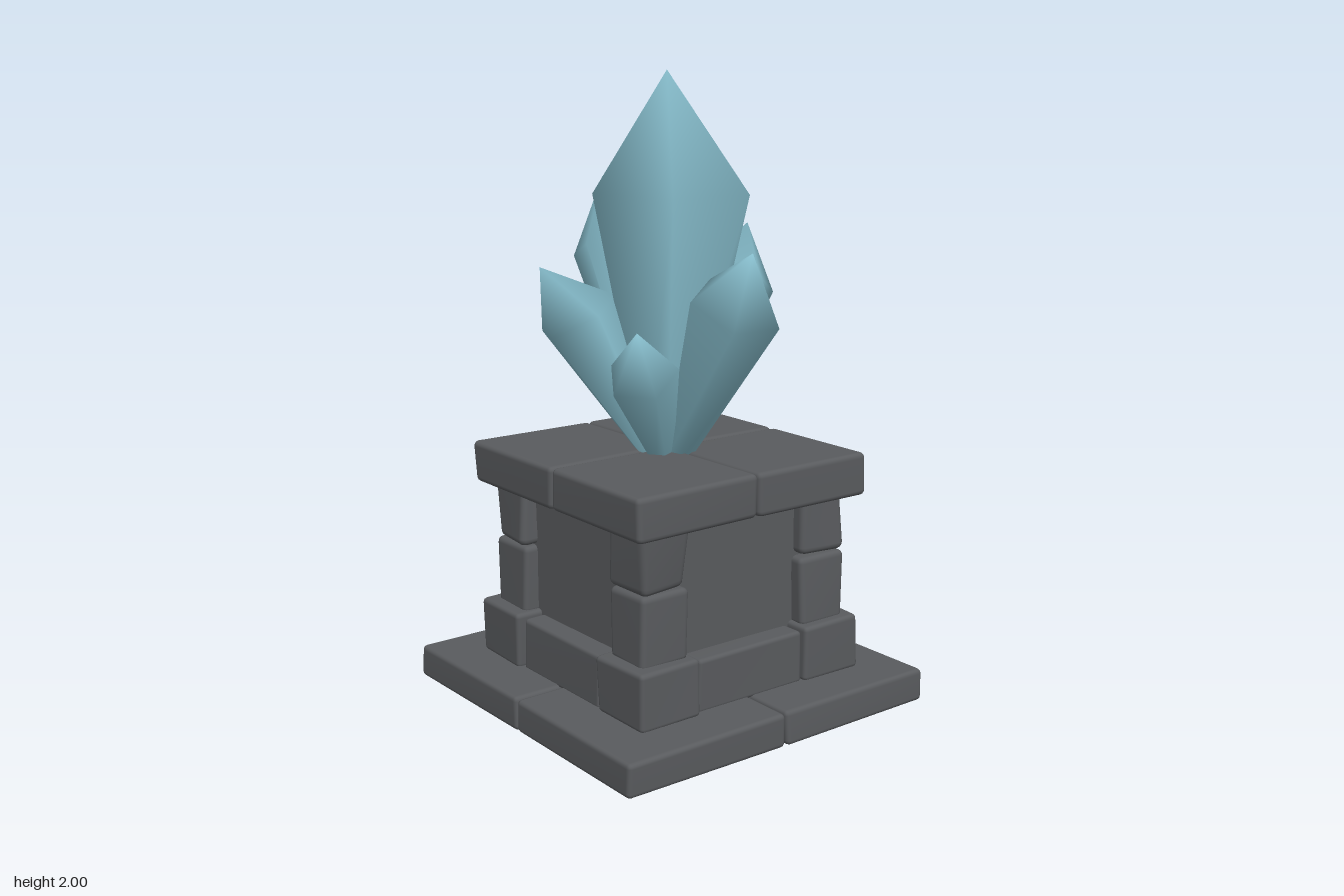
import * as THREE from 'three';
import { RoundedBoxGeometry } from 'three/addons/geometries/RoundedBoxGeometry.js';
import { mergeVertices } from 'three/addons/utils/BufferGeometryUtils.js';

const stone = new THREE.MeshStandardMaterial({ color: 0x595b5e });
stone.name = 'stone';
const crystalBlue = new THREE.MeshStandardMaterial({ color: 0x86bccb });
crystalBlue.name = 'crystal blue';

let seed = 7;
const rand = () => (seed = (seed * 16807) % 2147483647) / 2147483647;

// Worn stone block between two corners, each of its eight corners pulled slightly inward
function block(name, min, max, radius = 0.018, wear = 0.012) {
  const size = max.map((v, i) => v - min[i]);
  let geo = new RoundedBoxGeometry(...size, 2, radius);
  geo.deleteAttribute('normal');
  geo.deleteAttribute('uv');
  geo = mergeVertices(geo, 1e-4);
  const pulls = Array.from({ length: 8 }, () => [rand() * wear, rand() * wear * 0.5, rand() * wear]);
  const pos = geo.attributes.position;
  for (let i = 0; i < pos.count; i++) {
    const p = [pos.getX(i), pos.getY(i), pos.getZ(i)];
    const side = p.map((v) => (v > 0 ? 1 : 0));
    const pull = pulls[side[0] + side[1] * 2 + side[2] * 4];
    const moved = p.map((v, k) => v - pull[k] * (v / (size[k] / 2)));
    pos.setXYZ(i, ...moved);
  }
  geo.computeVertexNormals();
  const mesh = new THREE.Mesh(geo, stone);
  mesh.name = name;
  mesh.position.set(...min.map((v, i) => (v + max[i]) / 2));
  return mesh;
}

// Block spanning near..far outward from the centre in the corner given by sx, sz
function cornerBlock(name, sx, sz, near, far, y0, y1, radius, wear) {
  const span = (s) => (s > 0 ? [near, far] : [-far, -near]);
  const [x0, x1] = span(sx), [z0, z1] = span(sz);
  return block(name, [x0, y0, z0], [x1, y1, z1], radius, wear);
}

// Five-sided crystal: narrow foot, wide shoulder, pointed tip
function crystal(name, foot, shoulder, tip, radius, footRadius) {
  const a = new THREE.Vector3(...foot), b = new THREE.Vector3(...shoulder);
  const axis = b.clone().sub(a).normalize();
  const inward = new THREE.Vector3(a.x - b.x, 0, a.z - b.z);
  inward.addScaledVector(axis, -inward.dot(axis)).normalize();
  const across = axis.clone().cross(inward);
  const points = [], index = [], n = 5;
  for (const [centre, r] of [[a, footRadius], [b, radius]]) {
    for (let i = 0; i < n; i++) {
      const t = (i / n) * Math.PI * 2;
      const p = centre.clone().addScaledVector(inward, Math.cos(t) * r).addScaledVector(across, Math.sin(t) * r);
      points.push(p);
    }
  }
  points.push(new THREE.Vector3(...tip), a);
  for (let i = 0; i < n; i++) {
    const j = (i + 1) % n;
    index.push(i, j, n + j, i, n + j, n + i, n + i, n + j, 2 * n, j, i, 2 * n + 1);
  }
  const geo = new THREE.BufferGeometry().setFromPoints(points);
  geo.setIndex(index);
  geo.computeVertexNormals();
  const mesh = new THREE.Mesh(geo, crystalBlue);
  mesh.name = name;
  return mesh;
}

export function createModel() {
  const model = new THREE.Group();
  model.name = 'crystalPedestal';
  const pedestal = new THREE.Group();
  pedestal.name = 'pedestal';
  const cluster = new THREE.Group();
  cluster.name = 'crystalCluster';
  model.add(pedestal, cluster);

  // Inner core, whose sides show as recessed panels
  const core = new THREE.Mesh(new THREE.BoxGeometry(0.7, 0.68, 0.7), stone);
  core.name = 'corePanels';
  core.position.y = 0.4;
  pedestal.add(core);

  // Four-way symmetric corner stones
  for (const sx of [-1, 1]) {
    for (const sz of [-1, 1]) {
      pedestal.add(
        cornerBlock('baseSlab', sx, sz, 0, 0.59, 0, 0.112, 0.016, 0.006),
        cornerBlock('plinthCorner', sx, sz, 0.205, 0.445, 0.1, 0.29, 0.016, 0.012),
        cornerBlock('lowerPillarStone', sx, sz, 0.222, 0.406, 0.27, 0.503, 0.02, 0.012),
        cornerBlock('upperPillarStone', sx, sz, 0.225, 0.41, 0.497, 0.7, 0.025, 0.02),
        cornerBlock('capSlab', sx, sz, -0.001, 0.452, 0.682, 0.822, 0.018, 0.006),
      );
    }
  }

  // Plinth stones between the corners
  for (const s of [-1, 1]) {
    const [lo, hi] = s > 0 ? [0.3, 0.425] : [-0.425, -0.3];
    pedestal.add(
      block('plinthStone', [-0.212, 0.1, lo], [0.212, 0.275, hi], 0.014, 0.006),
      block('plinthStone', [lo, 0.1, -0.212], [hi, 0.275, 0.212], 0.014, 0.006),
    );
  }

  // Crystals: foot, shoulder centre, tip, shoulder radius, foot radius
  cluster.add(
    crystal('mainCrystal', [0, 0.77, 0], [0, 1.63, 0.015], [-0.025, 2, 0.03], 0.252, 0.07),
    crystal('frontCrystal', [0, 0.77, 0.035], [-0.012, 1.31, 0.345], [-0.05, 1.485, 0.465], 0.145, 0.035),
    crystal('leftCrystal', [0.06, 0.77, 0], [0.32, 1.33, -0.06], [0.4, 1.505, -0.085], 0.145, 0.035),
    crystal('backCrystal', [0, 0.77, -0.04], [0.003, 1.44, -0.29], [-0.005, 1.66, -0.34], 0.143, 0.035),
    crystal('rightCrystal', [-0.03, 0.77, -0.01], [-0.265, 1.25, -0.11], [-0.38, 1.41, -0.145], 0.137, 0.035),
    crystal('backLeftCrystal', [0.03, 0.77, -0.08], [0.15, 1.13, -0.34], [0.265, 1.29, -0.45], 0.128, 0.035),
    crystal('frontRightCrystal', [-0.03, 0.77, 0.02], [-0.215, 1.1, 0.155], [-0.268, 1.24, 0.2], 0.113, 0.03),
  );
  return model;
}
